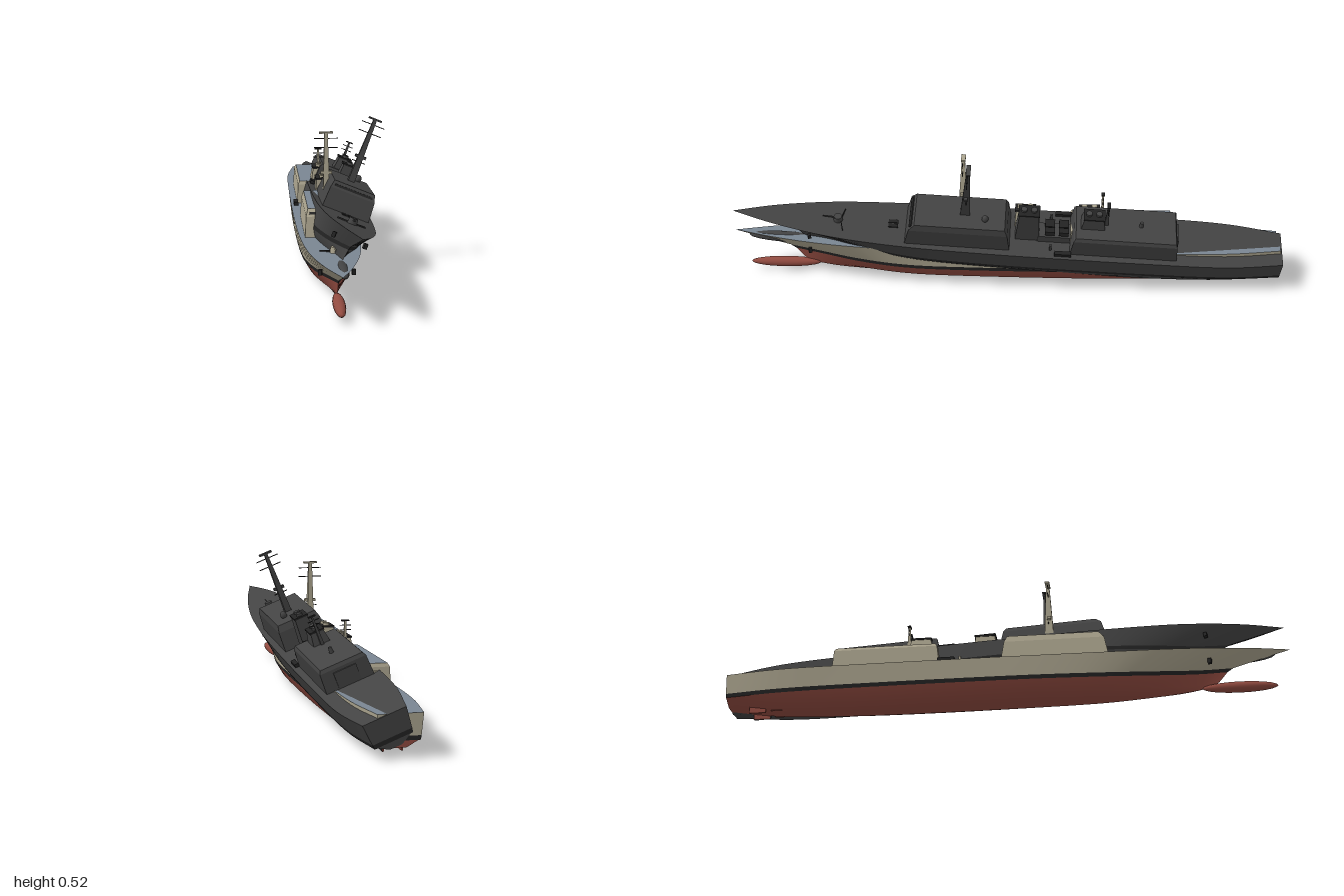
import * as THREE from 'three';

const paint = (name, color) => {
  const m = new THREE.MeshStandardMaterial({ color });
  m.name = name;
  return m;
};

// Hull stations: nominal z, deck half-width, deck y, waterline half-width, chine half-width, bottom half-width, keel y
const STATIONS = [
  [1, 0, .16, 0, 0, 0, .03],
  [.85, .043, .155, .021, .012, .003, .015],
  [.65, .08, .148, .056, .036, .008, .006],
  [.4, .1, .142, .086, .062, .018, 0],
  [.1, .108, .14, .1, .078, .03, 0],
  [-.5, .108, .14, .1, .08, .03, 0],
  [-.8, .1, .14, .09, .07, .025, .01],
  [-.99, .073, .14, .066, .055, .02, .035],
];
const STEM = [1, .8, .78, .75, .72]; // where each hull line meets the raked stem
const STEPS = 40;

// Surface through rows of points, each row running the same way
function loft(rows) {
  const pos = [], idx = [], n = rows[0].length;
  rows.forEach(r => r.forEach(p => pos.push(p.x, p.y, p.z)));
  for (let r = 0; r < rows.length - 1; r++) {
    for (let i = 0; i < n - 1; i++) {
      const a = r * n + i, b = a + 1, c = a + n, d = c + 1;
      idx.push(a, c, b, b, c, d);
    }
  }
  const g = new THREE.BufferGeometry();
  g.setAttribute('position', new THREE.Float32BufferAttribute(pos, 3));
  g.setIndex(idx);
  g.computeVertexNormals();
  return g;
}

// Longitudinal hull lines from deck edge down to flat bottom, then mirrored back up
function hullRing() {
  const lines = STEM.map((stem, k) => {
    const pts = STATIONS.map(([s, deck, deckY, wl, chine, bottom, keel]) => {
      const t = Math.max(0, (s - .3) / .7);
      const rise = .03 * t * t;
      const x = [deck, wl, wl * .97, chine, bottom][k];
      const y = [deckY, .07 + rise, .056 + rise, keel + .02, keel][k];
      return new THREE.Vector3(x, y, t > 0 ? .3 + t * (stem - .3) : s);
    });
    return new THREE.CatmullRomCurve3(pts).getPoints(STEPS)
      .map(p => p.set(Math.max(0, p.x), p.y, p.z));
  });
  const mirror = l => l.map(p => new THREE.Vector3(-p.x, p.y, p.z));
  return [...lines, ...lines.slice().reverse().map(mirror)];
}

// Box with a differently sized top: [halfWidth, zFront, zBack] at y0 and y1
function taperedBox([w0, f0, b0], [w1, f1, b1], y0, y1) {
  const g = new THREE.BoxGeometry(1, 1, 1), p = g.attributes.position;
  for (let i = 0; i < p.count; i++) {
    const top = p.getY(i) > 0, front = p.getZ(i) > 0;
    p.setXYZ(i, Math.sign(p.getX(i)) * (top ? w1 : w0), top ? y1 : y0,
      top ? (front ? f1 : b1) : (front ? f0 : b0));
  }
  g.computeVertexNormals();
  return g;
}

function buildShip(name, c) {
  const ship = new THREE.Group();
  ship.name = name;
  const add = (part, geo, mat, x = 0, y = 0, z = 0) => {
    const m = new THREE.Mesh(geo, mat);
    m.name = part;
    m.position.set(x, y, z);
    ship.add(m);
    return m;
  };
  const box = (part, mat, w, h, d, x, y, z) => add(part, new THREE.BoxGeometry(w, h, d), mat, x, y, z);
  const block = (part, base, top, y0, y1, roof = c.side) =>
    add(part, taperedBox(base, top, y0, y1), [c.side, c.side, roof, c.side, c.side, c.side]);

  // Hull
  const ring = hullRing();
  add('topsideLeft', loft(ring.slice(0, 2)), c.side);
  add('topsideRight', loft(ring.slice(8, 10)), c.side);
  add('waterlineLeft', loft(ring.slice(1, 3)), c.trim);
  add('waterlineRight', loft(ring.slice(7, 9)), c.trim);
  add('underbody', loft(ring.slice(2, 8)), c.bottom);
  add('deck', loft([ring[9], ring[0]]), c.deck);
  const end = k => [ring[k][STEPS], ring[9 - k][STEPS]];
  [c.side, c.trim, c.bottom, c.bottom].forEach((m, k) => add('transom', loft([end(k), end(k + 1)]), m));
  const bulb = add('bowBulb', new THREE.SphereGeometry(1, 20, 12), c.bottom, 0, .028, .82);
  bulb.scale.set(.02, .019, .13);

  // Steering gear and anchors
  for (const s of [-1, 1]) {
    box('rudder', c.bottom, .006, .035, .06, s * .03, .023, -.88);
    const shaft = add('shaft', new THREE.CylinderGeometry(.003, .003, .22, 8), c.bottom, s * .03, .013, -.72);
    shaft.rotation.x = Math.PI / 2;
    const anchor = box('anchor', c.trim, .012, .018, .012, s * .053, .108, .72);
    anchor.rotation.y = s * .3;
  }

  // Deckhouses
  block('bridgeHouse', [.084, .375, -.003], [.08, .36, .008], .138, .21);
  block('bridgeRoof', [.08, .36, .008], [.073, .34, .018], .21, .234, c.deck);
  block('bridgeWindows', [.069, .359, .35], [.067, .352, .345], .217, .224).material = c.trim;
  block('hangar', [.085, -.22, -.605], [.082, -.23, -.6], .138, .208);
  block('hangarRoof', [.082, -.23, -.6], [.075, -.237, -.595], .208, .22, c.deck);
  box('hangarDoor', c.side, .08, .055, .006, 0, .17, -.604);
  block('midshipHouse', [.035, -.1, -.22], [.032, -.105, -.22], .138, .165);

  // Funnels with round exhaust caps
  for (const [z, y0] of [[-.065, .138], [-.297, .215]]) {
    block('funnel', [.031, z + .044, z - .044], [.023, z + .034, z - .036], y0, .262);
    block('funnelTop', [.026, z + .037, z - .039], [.026, z + .037, z - .039], .262, .268).material = c.trim;
    for (const dz of [-.018, .018])
      add('exhaust', new THREE.CylinderGeometry(.011, .011, .01, 14), c.side, 0, .272, z + dz);
  }

  // Main mast with yards
  block('mainMast', [.012, .18, .145], [.006, .163, .152], .232, .464);
  box('mastHead', c.side, .048, .006, .016, 0, .465, .157);
  for (const [y, w] of [[.445, .084], [.413, .084], [.306, .05]])
    box('yard', c.trim, w, .0028, .0028, 0, y, .16);
  for (const s of [-1, 1]) box('mastPlatform', c.side, .012, .01, .014, s * .014, .325, .162);
  const dome = add('radarDome', new THREE.SphereGeometry(.012, 14, 10), c.side, .03, .243, .09);
  dome.scale.y = 1.2;

  // Aft mast
  block('aftMast', [.006, -.338, -.352], [.003, -.341, -.348], .218, .325);
  box('aftMastHead', c.trim, .026, .004, .012, 0, .324, -.345);
  for (const y of [.292, .308]) box('aftYard', c.trim, .04, .0025, .0025, 0, y, -.345);
  add('hangarSensor', new THREE.CylinderGeometry(.006, .008, .02, 10), c.side, 0, .23, -.47);

  // Midship launchers and side boats
  for (const z of [-.145, -.195]) {
    for (const s of [-1, 1]) {
      const l = box('launcher', c.trim, .03, .014, .035, s * .018, .18, z);
      l.rotation.z = s * .25;
    }
  }
  for (const s of [-1, 1]) {
    box('boat', c.trim, .016, .012, .06, s * .092, .148, -.195);
    box('davit', c.side, .008, .03, .008, s * .07, .152, -.15);
  }

  // Foredeck gun, breakwater and hatch
  add('gunBase', new THREE.CylinderGeometry(.014, .017, .022, 14), c.side, 0, .156, .62);
  const barrel = add('gunBarrel', new THREE.CylinderGeometry(.0025, .003, .05, 8), c.side, 0, .163, .65);
  barrel.rotation.x = Math.PI / 2 - .1;
  for (const s of [-1, 1]) {
    const b = box('breakwater', c.trim, .05, .007, .003, s * .024, .148, .605);
    b.rotation.y = s * .25;
  }
  for (const x of [-.01, .01]) box('hatch', c.trim, .014, .004, .035, x, .1445, .42);
  return ship;
}

export function createModel() {
  const tan = paint('warm grey paint', 0xaca58f);
  const deck = paint('blue grey deck', 0x7a8692);
  const red = paint('red underbody', 0x914b40);
  const black = paint('black trim', 0x232323);
  const dark = paint('charcoal', 0x434343);

  const model = new THREE.Group();
  model.name = 'twinShips';

  // Upright painted ship
  const painted = buildShip('paintedShip', { side: tan, deck, bottom: red, trim: black });
  painted.position.set(-.049, 0, 0);

  // Charcoal ship, heeled over with its bow raised
  const charcoal = buildShip('charcoalShip', { side: dark, deck: dark, bottom: dark, trim: black });
  charcoal.position.set(-.049, .065, 0);
  charcoal.rotation.set(-.06, 0, -.384);

  model.add(painted, charcoal);
  return model;
}
